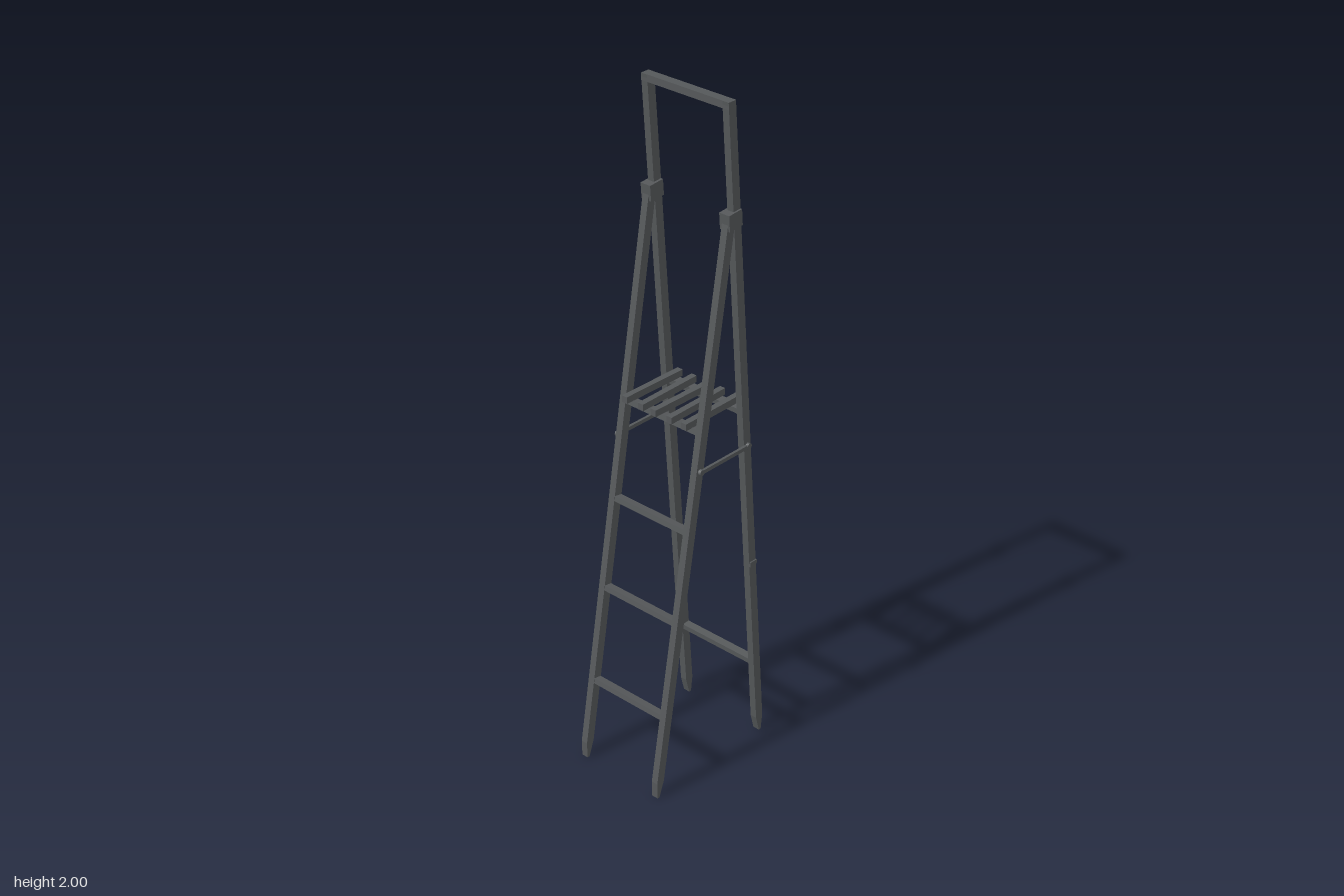
import * as THREE from 'three';

const DARK = new THREE.MeshStandardMaterial({ color: 0x55585a });
const RAIL_Z = 0.137; // centre plane of the side rails
const HALF = 0.0135; // half width of a rail in x
const DEPTH = 0.021; // rail thickness in z

// Rail centre lines, x as a function of height
const rearX = (y) => -0.218 + 0.1657 * y;
const frontX = (y) => 0.213 - 0.079 * y;

export function createModel() {
  const model = new THREE.Group();

  function add(name, geometry, x, y, z) {
    const mesh = new THREE.Mesh(geometry, DARK);
    mesh.name = name;
    mesh.position.set(x, y, z);
    model.add(mesh);
    return mesh;
  }
  const box = (name, w, h, d, x, y, z) => add(name, new THREE.BoxGeometry(w, h, d), x, y, z);

  // Leaning rail with a foot that tapers to a blunt point
  function rail(name, lineX, top, z) {
    const shape = new THREE.Shape([
      new THREE.Vector2(lineX(0) - 0.004, 0),
      new THREE.Vector2(lineX(0) + 0.004, 0),
      new THREE.Vector2(lineX(0.05) + HALF, 0.05),
      new THREE.Vector2(lineX(top) + HALF, top),
      new THREE.Vector2(lineX(top) - HALF, top),
      new THREE.Vector2(lineX(0.05) - HALF, 0.05),
    ]);
    const geometry = new THREE.ExtrudeGeometry(shape, { depth: DEPTH, bevelEnabled: false });
    add(name, geometry, 0, 0, z - DEPTH / 2);
  }

  // Rung spanning the two rails of one frame, tilted with them
  function rung(name, lineX, y) {
    const mesh = box(name, 0.024, 0.016, RAIL_Z * 2, lineX(y), y, 0);
    mesh.rotation.z = Math.atan(lineX(0) - lineX(1));
  }

  for (const side of [-1, 1]) {
    const z = side * RAIL_Z;
    rail('climbingRail', rearX, 1.69, z);
    rail('handleRail', frontX, 2, z);

    // Bracket wrapping the joint at the top
    const bracket = box('topBracket', 0.049, 0.046, 0.034, 0.069, 1.676, side * 0.136);
    bracket.rotation.z = 0.08;

    // Thin spreader bar outside the rails
    box('spreaderBar', 0.198, 0.011, 0.008, 0.041, 0.99, side * 0.151);
    for (const x of [rearX(0.99), frontX(0.99)]) {
      const pin = add('spreaderPin', new THREE.CylinderGeometry(0.009, 0.009, 0.01, 8), x, 0.99, side * 0.151);
      pin.rotation.x = Math.PI / 2;
    }

    // Small catch on the handle rail
    box('railCatch', 0.027, 0.014, 0.006, frontX(0.6), 0.6, side * 0.1485);
  }

  // Handle across the top
  box('topHandle', 0.027, 0.02, RAIL_Z * 2 + DEPTH, frontX(1.99), 1.99, 0);

  // Climbing rungs, lower brace and platform supports
  for (const y of [0.25, 0.54, 0.81]) rung('rung', rearX, y);
  rung('lowerBrace', frontX, 0.25);
  for (const lineX of [rearX, frontX]) rung('platformSupport', lineX, 1.097);

  // Slightly uneven platform slats
  const slats = [[-0.11, -0.015], [-0.055, 0.02], [-0.005, -0.015], [0.048, 0.02], [0.101, 0.01]];
  for (const [z, turn] of slats) {
    box('platformSlat', 0.216, 0.02, 0.018, 0.039, 1.116, z).rotation.y = turn;
  }

  return model;
}
